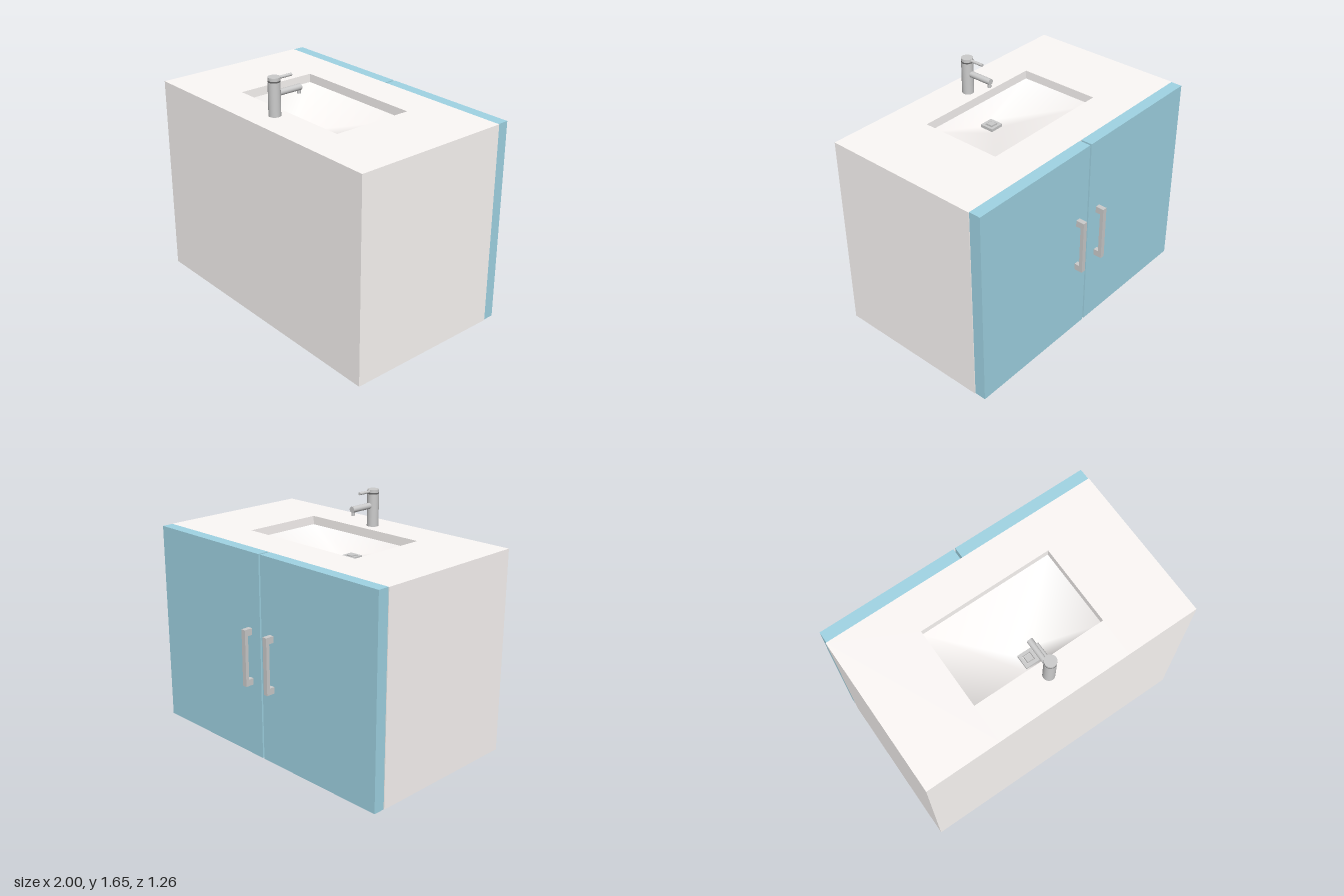
import * as THREE from 'three';

const grey = new THREE.MeshStandardMaterial({ color: 0xcccccc });
const dark = new THREE.MeshStandardMaterial({ color: 0x666666 });
const bodyMat = new THREE.MeshStandardMaterial({ color: 0xfdf9f7 });
const doorMat = new THREE.MeshStandardMaterial({ color: 0xa0d4e4 });
const basinMat = new THREE.MeshStandardMaterial({ color: 0xfdf9f7, side: THREE.DoubleSide });

function add(parent, name, geometry, material = grey) {
  const mesh = new THREE.Mesh(geometry, material);
  mesh.name = name;
  parent.add(mesh);
  return mesh;
}

// box given by its extents on each axis
function box(parent, name, [x0, x1], [y0, y1], [z0, z1], material) {
  const mesh = add(parent, name, new THREE.BoxGeometry(x1 - x0, y1 - y0, z1 - z0), material);
  mesh.position.set((x0 + x1) / 2, (y0 + y1) / 2, (z0 + z1) / 2);
  return mesh;
}

// smooth bowl: four sloping faces from an upper to a lower rectangle, closed below
function funnel(upper, lower) {
  const loop = ({ x, z0, z1, y }) => [-x, y, z0, -x, y, z1, x, y, z1, x, y, z0];
  const index = [4, 5, 6, 4, 6, 7];
  for (let i = 0; i < 4; i++) {
    const j = (i + 1) % 4;
    index.push(i, j, j + 4, i, j + 4, i + 4);
  }
  const geometry = new THREE.BufferGeometry();
  const points = [...loop(upper), ...loop(lower)];
  geometry.setAttribute('position', new THREE.Float32BufferAttribute(points, 3));
  geometry.setIndex(index);
  geometry.computeVertexNormals();
  return geometry;
}

export function createModel() {
  const vanity = new THREE.Group();
  vanity.name = 'vanity';
  const top = 1.4, slab = 0.2, back = -0.49, front = 0.63;
  const hx = 0.48, hz0 = -0.22, hz1 = 0.36;

  // cabinet and U-shaped counter around the basin
  box(vanity, 'cabinet', [-1, 1], [0, top - slab], [back, front], bodyMat);
  const outline = new THREE.Shape([
    [-1, back], [1, back], [1, front], [hx, front],
    [hx, hz0], [-hx, hz0], [-hx, front], [-1, front],
  ].map(([x, z]) => new THREE.Vector2(x, z)));
  const counter = new THREE.ExtrudeGeometry(outline, { depth: slab, bevelEnabled: false });
  counter.rotateX(Math.PI / 2);
  add(vanity, 'counter', counter, bodyMat).position.y = top;
  box(vanity, 'faucetDeck', [-hx, hx], [top - slab, top], [hz1, front], bodyMat);

  // basin floor falling to the drain
  add(vanity, 'basin', funnel(
    { x: hx, z0: hz0, z1: hz1, y: 1.34 },
    { x: 0.06, z0: 0.19, z1: 0.31, y: 1.21 },
  ), basinMat);

  // square drain ring with a raised stopper
  const drain = new THREE.Group();
  drain.name = 'drain';
  vanity.add(drain);
  for (const s of [-1, 1]) {
    box(drain, 'drainSide', [s * 0.04 - 0.01, s * 0.04 + 0.01], [1.205, 1.23], [0.2, 0.3]);
    box(drain, 'drainEnd', [-0.03, 0.03], [1.205, 1.23], [0.25 + s * 0.04 - 0.01, 0.25 + s * 0.04 + 0.01]);
  }
  box(drain, 'stopper', [-0.022, 0.022], [1.205, 1.235], [0.228, 0.272]);

  // doors and bracket handles, mirrored
  for (const s of [-1, 1]) {
    const span = (a, b) => (s > 0 ? [a, b] : [-b, -a]);
    const door = new THREE.Group();
    door.name = s > 0 ? 'leftDoor' : 'rightDoor';
    vanity.add(door);
    box(door, 'doorPanel', span(0.007, 0.995), [0, top], [-0.57, back], doorMat);
    const width = span(0.085, 0.118);
    box(door, 'handleBar', width, [0.505, 0.895], [-0.63, -0.605]);
    for (const y of [0.505, 0.85]) box(door, 'handlePost', width, [y, y + 0.045], [-0.606, -0.57]);
  }

  // faucet: column, neck ring, cap, spout and lever
  const faucet = new THREE.Group();
  faucet.name = 'faucet';
  faucet.position.set(0, top, 0.455);
  vanity.add(faucet);
  const disc = (name, r, y0, y1, material) => {
    add(faucet, name, new THREE.CylinderGeometry(r, r, y1 - y0, 32), material).position.y = (y0 + y1) / 2;
  };
  disc('column', 0.04, 0, 0.222);
  disc('neckRing', 0.039, 0.222, 0.232, dark);
  disc('cap', 0.04, 0.232, 0.253);
  const rod = (name, r, y, length) => {
    const mesh = add(faucet, name, new THREE.CylinderGeometry(r, r, length, 20));
    mesh.rotation.x = Math.PI / 2;
    mesh.position.set(0, y, -length / 2);
  };
  rod('spout', 0.021, 0.143, 0.205);
  rod('lever', 0.01, 0.24, 0.135);
  const outlet = add(faucet, 'outlet', new THREE.CylinderGeometry(0.012, 0.012, 0.05, 16));
  outlet.position.set(0, 0.127, -0.193);

  return vanity;
}
